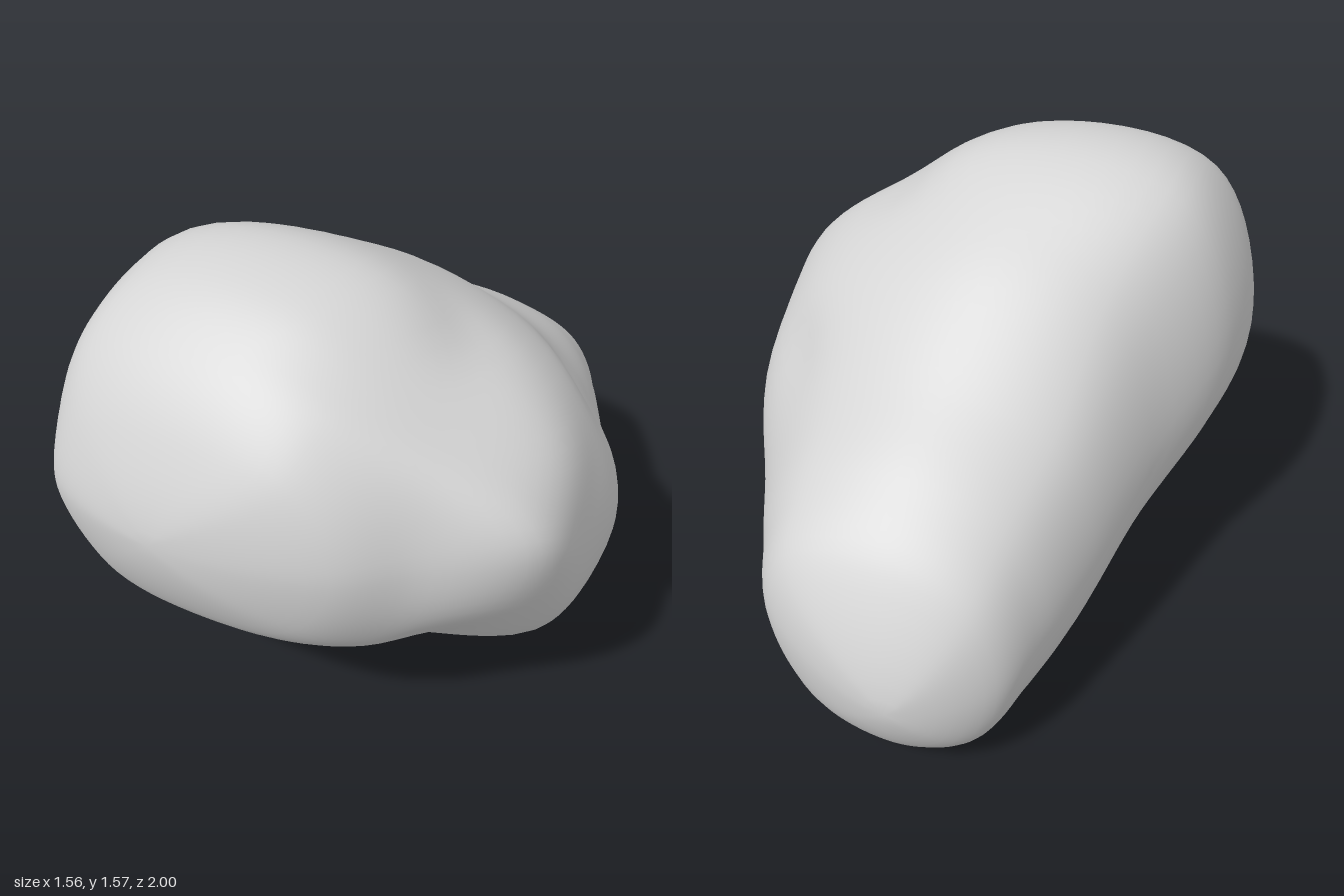
import * as THREE from 'three';

// Cross-sections from front to back: z, then eight x, y points clockwise from the top
const SECTIONS = [
  [0.9, -0.2, 1.22, 0.1, 1.16, 0.25, 0.92, 0.12, 0.68, -0.2, 0.61, -0.49, 0.68, -0.63, 0.94, -0.49, 1.16],
  [0.75, -0.16, 1.41, 0.19, 1.3, 0.47, 0.93, 0.29, 0.56, -0.13, 0.455, -0.55, 0.5, -0.715, 0.92, -0.58, 1.33],
  [0.55, 0.0, 1.515, 0.42, 1.25, 0.73, 0.94, 0.54, 0.55, -0.05, 0.36, -0.575, 0.42, -0.775, 0.9, -0.56, 1.46],
  [0.28, 0.06, 1.53, 0.57, 1.22, 0.77, 0.78, 0.66, 0.37, 0.05, 0.2, -0.48, 0.33, -0.74, 0.82, -0.55, 1.465],
  [-0.05, -0.03, 1.38, 0.55, 1.13, 0.77, 0.66, 0.63, 0.29, 0.05, 0.06, -0.37, 0.18, -0.6, 0.65, -0.44, 1.25],
  [-0.4, -0.02, 1.1, 0.38, 0.97, 0.61, 0.58, 0.44, 0.13, 0.03, 0, -0.34, 0.11, -0.5, 0.5, -0.38, 0.95],
  [-0.65, 0, 0.93, 0.34, 0.84, 0.49, 0.57, 0.36, 0.14, 0, 0.01, -0.3, 0.11, -0.42, 0.45, -0.31, 0.8],
  [-0.85, 0, 0.74, 0.3, 0.68, 0.38, 0.48, 0.26, 0.16, -0.02, 0.055, -0.25, 0.14, -0.33, 0.38, -0.25, 0.64],
];
const FRONT = new THREE.Vector3(-0.24, 0.93, 1);
const BACK = new THREE.Vector3(-0.05, 0.36, -1);
const RINGS = 60, SIDES = 72;

// Soft hollows and swellings: x, y, z, radius, push outwards
const DENTS = [
  [0.4, 0.95, 0.72, 0.17, -0.022],
  [0.37, 1.38, 0.28, 0.16, -0.04],
  [0.6, 1.0, -0.22, 0.16, -0.03],
  [0.45, 0.55, 0.6, 0.15, -0.02],
  [0.64, 1.05, 0.3, 0.17, 0.03],
];
const CENTRE = new THREE.Vector3(0, 0.75, 0.1);

function weather(p) {
  const out = p.clone().sub(CENTRE).normalize();
  let push = 0;
  for (const [x, y, z, radius, amount] of DENTS) {
    const d = p.distanceTo(new THREE.Vector3(x, y, z)) / radius;
    push += amount * Math.exp(-d * d);
  }
  return p.addScaledVector(out, push);
}

function boulderGeometry() {
  const meridian = (k) => SECTIONS.map((s) => new THREE.Vector3(s[1 + 2 * k], s[2 + 2 * k], s[0]));

  // Each closed loop runs back along one meridian and forward along the opposite one,
  // so both ends are rounded
  const loops = [0, 1, 2, 3].map((k) => new THREE.CatmullRomCurve3(
    [FRONT, ...meridian(k), BACK, ...meridian(k + 4).reverse()], true));

  const positions = [...FRONT.toArray()];
  for (let i = 1; i < RINGS; i++) {
    const t = i / RINGS / 2;
    const near = loops.map((c) => c.getPoint(t));
    const far = loops.map((c) => c.getPoint(1 - t));
    const ring = new THREE.CatmullRomCurve3([...near, ...far], true);
    for (let j = 0; j < SIDES; j++) positions.push(...weather(ring.getPoint(j / SIDES)).toArray());
  }
  positions.push(...BACK.toArray());

  // Quads between rings and a fan at each end
  const index = [];
  const at = (i, j) => 1 + (i - 1) * SIDES + (j % SIDES);
  const last = 1 + (RINGS - 1) * SIDES;
  for (let j = 0; j < SIDES; j++) {
    index.push(0, at(1, j + 1), at(1, j));
    for (let i = 1; i < RINGS - 1; i++) {
      const a = at(i, j), b = at(i, j + 1), c = at(i + 1, j), d = at(i + 1, j + 1);
      index.push(a, b, c, b, d, c);
    }
    index.push(last, at(RINGS - 1, j), at(RINGS - 1, j + 1));
  }

  const geometry = new THREE.BufferGeometry();
  geometry.setAttribute('position', new THREE.Float32BufferAttribute(positions, 3));
  geometry.setIndex(index);
  geometry.computeVertexNormals();
  return geometry;
}

export function createModel() {
  const stone = new THREE.MeshStandardMaterial({ color: 0xd4d4d4 });
  stone.name = 'grey stone';
  const boulder = new THREE.Mesh(boulderGeometry(), stone);
  boulder.name = 'boulder';
  const group = new THREE.Group();
  group.name = 'rock';
  group.add(boulder);
  return group;
}
